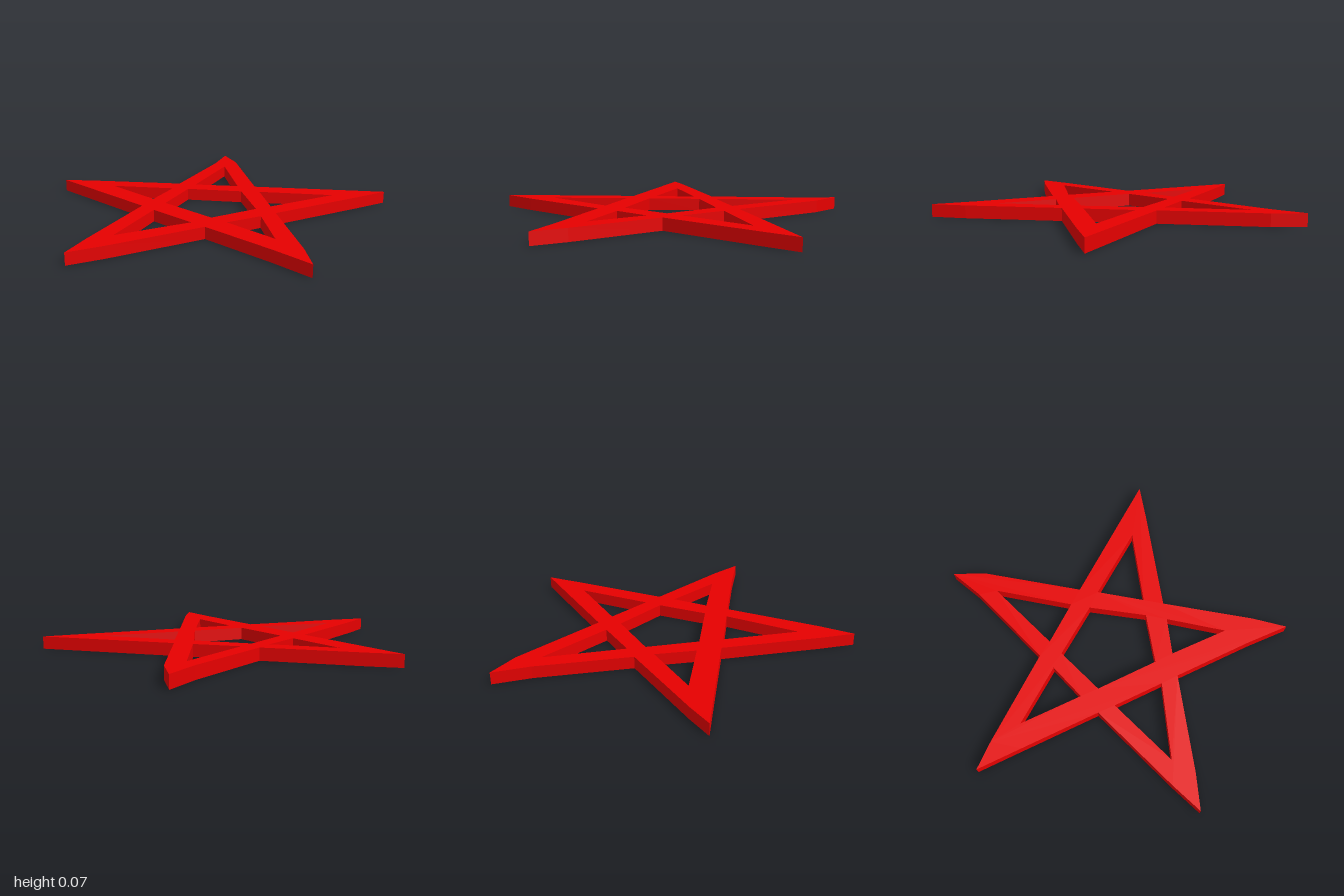
import * as THREE from 'three';

const HEIGHT = 0.072;

// Outer edge as [x, z]: each arm is bend, tip, bend, followed by the notch to the next arm
const OUTLINE = [
  [-0.065, 0.795], [0.005, 0.99], [0.085, 0.79], [0.27, 0.24],
  [0.745, 0.25], [1.0, 0.265], [0.85, 0.13], [0.415, -0.205],
  [0.60, -0.775], [0.665, -0.99], [0.51, -0.88], [0.005, -0.52],
  [-0.465, -0.885], [-0.64, -0.97], [-0.555, -0.77], [-0.395, -0.24],
  [-0.865, 0.105], [-1.0, 0.215], [-0.725, 0.22], [-0.245, 0.23],
];

// One triangular opening per arm, then the pentagon in the middle, wound opposite to the outline
const OPENINGS = [
  [[-0.14, 0.235], [0.165, 0.24], [0, 0.665]],
  [[0.385, -0.105], [0.66, 0.12], [0.31, 0.105]],
  [[0.095, -0.455], [0.465, -0.71], [0.32, -0.28]],
  [[-0.305, -0.295], [-0.45, -0.745], [-0.085, -0.455]],
  [[-0.29, 0.095], [-0.67, 0.085], [-0.355, -0.135]],
  [[0.005, -0.385], [0.285, -0.185], [0.195, 0.105], [-0.18, 0.10], [-0.275, -0.195]],
];

const toPoints = (list) => list.map(([x, z]) => new THREE.Vector2(x, z));

export function createModel() {
  const red = new THREE.MeshStandardMaterial({ color: 0xe60000 });
  red.name = 'red';

  // Flat five-pointed star of crossing bars, lying on the ground
  const shape = new THREE.Shape(toPoints(OUTLINE));
  shape.holes = OPENINGS.map((list) => new THREE.Path(toPoints(list)));
  const geometry = new THREE.ExtrudeGeometry(shape, { depth: HEIGHT, bevelEnabled: false });
  geometry.rotateX(Math.PI / 2);
  geometry.translate(0, HEIGHT, 0);

  const star = new THREE.Mesh(geometry, red);
  star.name = 'star';

  const group = new THREE.Group();
  group.name = 'flatStar';
  group.add(star);
  return group;
}
